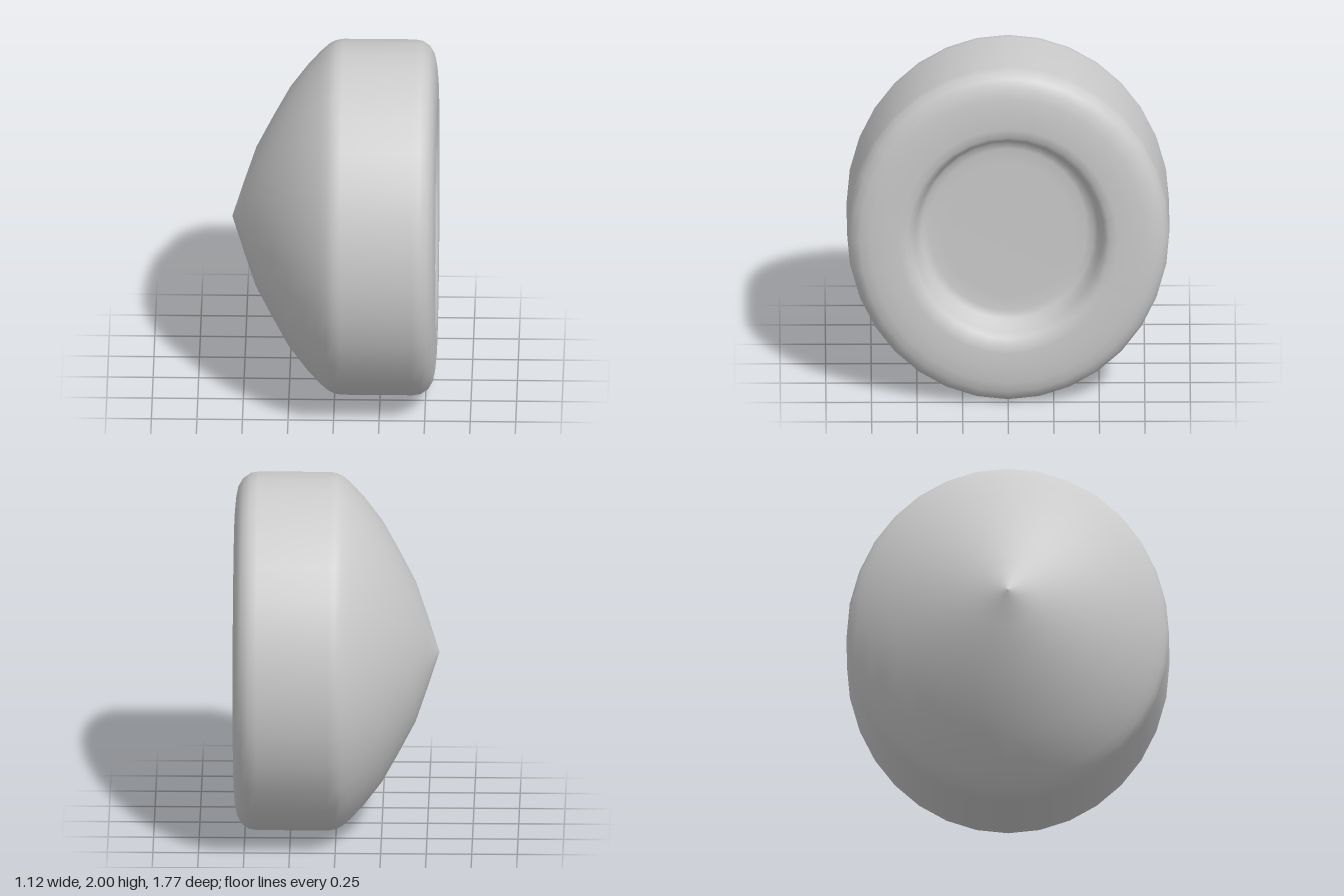
import * as THREE from 'three';

export function createModel() {
  const group = new THREE.Group();
  group.name = 'pointedButton';

  // Profile as [radius, position along x], from the tip round to the recess floor
  const profile = [
    [0, -0.565], [0.2, -0.5], [0.39, -0.435], [0.57, -0.34], [0.73, -0.25],
    [0.86, -0.15], [0.935, -0.08], [0.975, -0.035], [0.993, 0], [1, 0.04],
    [1, 0.24], [1, 0.43], [0.993, 0.475], [0.965, 0.515], [0.92, 0.541],
    [0.86, 0.553], [0.78, 0.56], [0.68, 0.56], [0.63, 0.553], [0.6, 0.53],
    [0.58, 0.49], [0.56, 0.44], [0.535, 0.41], [0.49, 0.397], [0.4, 0.395], [0, 0.395],
  ].map(([r, x]) => new THREE.Vector2(r, x));

  // Turn the axis onto x and squash the round into an upright oval
  const geometry = new THREE.LatheGeometry(profile, 32);
  geometry.rotateZ(-Math.PI / 2);
  geometry.scale(1, 1, 0.885);
  geometry.translate(0, 1, 0);

  const body = new THREE.Mesh(geometry, new THREE.MeshStandardMaterial({ color: 0xcccccc }));
  body.name = 'body';
  group.add(body);
  return group;
}
